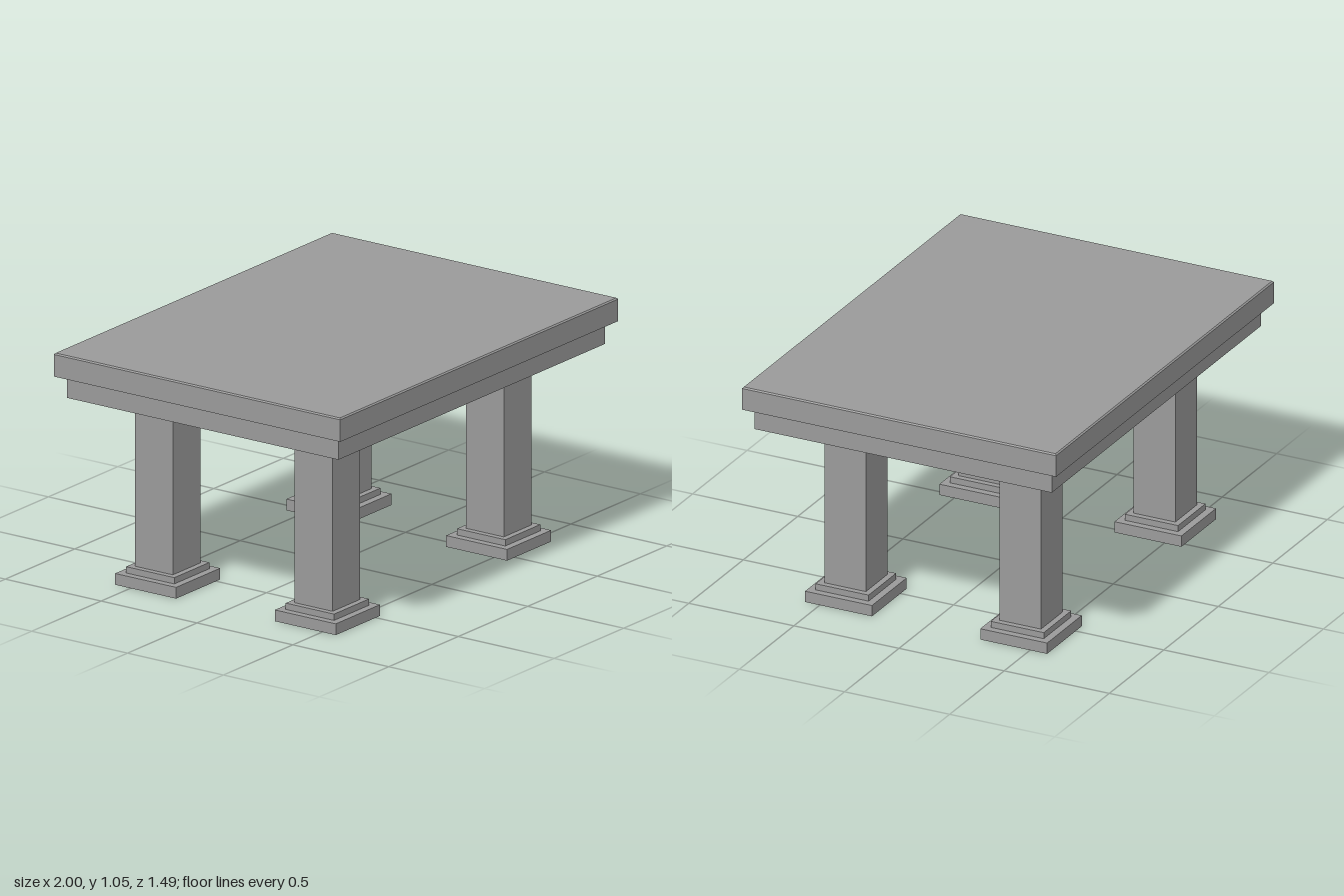
import * as THREE from 'three';

const material = new THREE.MeshStandardMaterial({ color: 0x9a9a9a, flatShading: true });
const shellMaterial = new THREE.MeshStandardMaterial({ color: 0x9a9a9a, flatShading: true, side: THREE.DoubleSide });

function addMesh(parent, name, geometry, mat, x, y, z) {
  const mesh = new THREE.Mesh(geometry, mat);
  mesh.name = name;
  mesh.position.set(x, y, z);
  parent.add(mesh);
}

// Box whose upper rim is cut by a narrow bevel
function beveledTop(w, h, d, bevel) {
  const box = new THREE.BoxGeometry(w, h, d, 1, 2, 1);
  const p = box.attributes.position;
  for (let i = 0; i < p.count; i++) {
    const y = p.getY(i);
    if (Math.abs(y) < 1e-6) {
      p.setY(i, h / 2 - bevel);
    } else if (y > 0) {
      p.setX(i, p.getX(i) - Math.sign(p.getX(i)) * bevel);
      p.setZ(i, p.getZ(i) - Math.sign(p.getZ(i)) * bevel);
    }
  }
  const flat = box.toNonIndexed();
  flat.computeVertexNormals();
  return flat;
}

// Square shell, open at both ends, from [half width, height] steps
function squareShell(steps) {
  const points = steps.map(([half, y]) => new THREE.Vector2(half * Math.SQRT2, y));
  const shell = new THREE.LatheGeometry(points, 4, Math.PI / 4).toNonIndexed();
  shell.computeVertexNormals();
  return shell;
}

export function createModel() {
  const model = new THREE.Group();
  model.name = 'table';

  // Table top and the apron below it
  addMesh(model, 'tableTop', beveledTop(2, 0.104, 1.494, 0.006), material, 0, 1.003, 0);
  addMesh(model, 'apron', new THREE.BoxGeometry(1.92, 0.098, 1.414), material, 0, 0.902, 0.001);

  // Square legs on hollow stepped feet
  const legGeometry = squareShell([
    [0.159, 0], [0.159, 0.05],
    [0.126, 0.05], [0.126, 0.078],
    [0.099, 0.078], [0.099, 0.853],
  ]);
  for (const [side, x] of [['Right', -0.629], ['Left', 0.603]]) {
    for (const [end, z] of [['front', 0.411], ['back', -0.422]]) {
      addMesh(model, `${end}${side}Leg`, legGeometry, shellMaterial, x, 0, z);
    }
  }
  return model;
}
